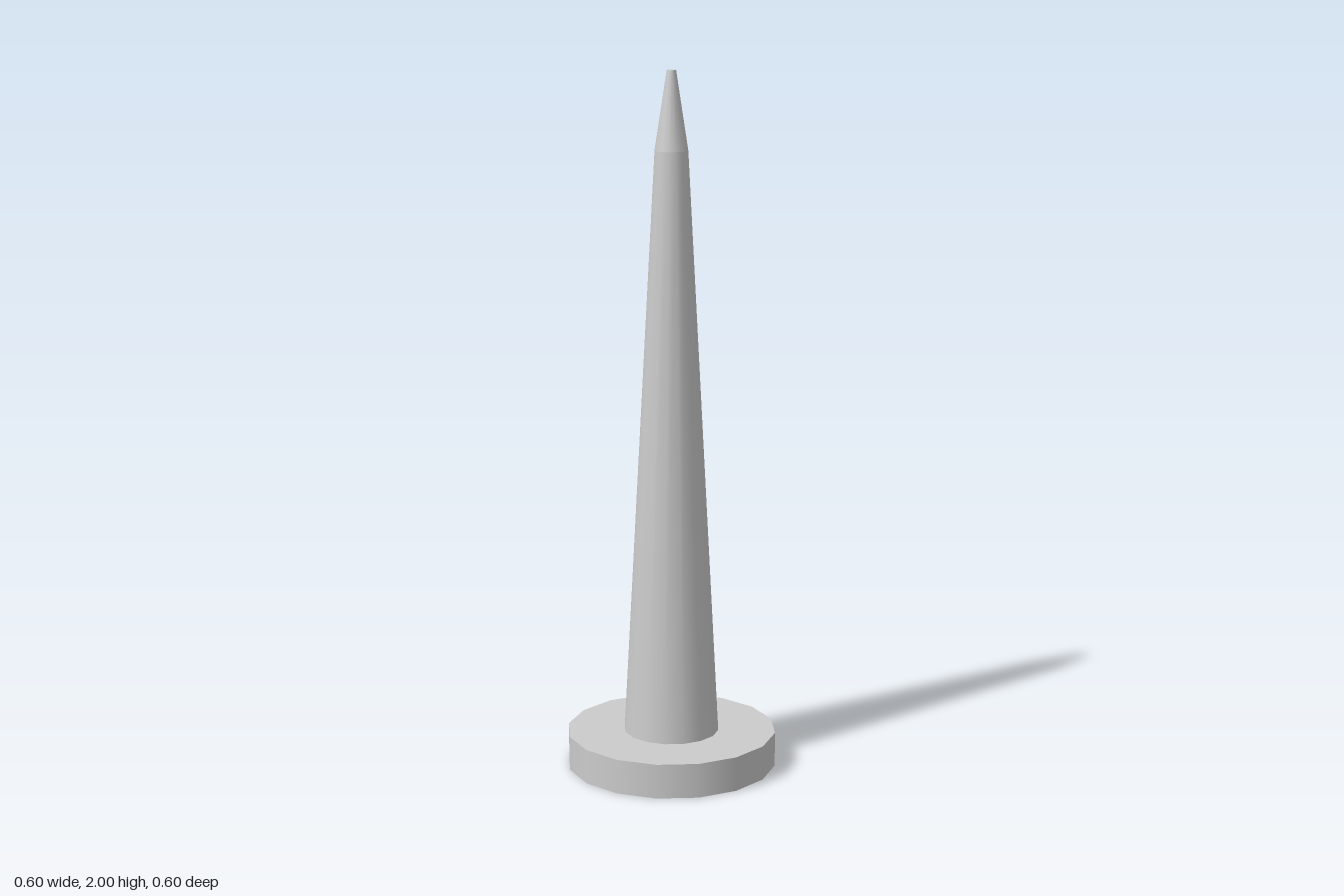
import * as THREE from 'three';

export function createModel() {
  const group = new THREE.Group();
  group.name = 'spike';
  const material = new THREE.MeshStandardMaterial({ color: 0xcccccc });
  const sides = 16;

  // Adds a tapered round section standing between two heights
  function addSection(name, bottomRadius, topRadius, y0, y1, open) {
    const geometry = new THREE.CylinderGeometry(topRadius, bottomRadius, y1 - y0, sides, 1, open);
    const mesh = new THREE.Mesh(geometry, material);
    mesh.name = name;
    mesh.position.y = (y0 + y1) / 2;
    group.add(mesh);
  }

  // Flat round head that the spike stands on
  addSection('baseDisc', 0.302, 0.302, 0, 0.1, false);
  // Long tapered shaft
  addSection('shaft', 0.137, 0.047, 0.1, 1.78, true);
  // Steeper blunt point
  addSection('tip', 0.047, 0.013, 1.78, 2, false);

  return group;
}
